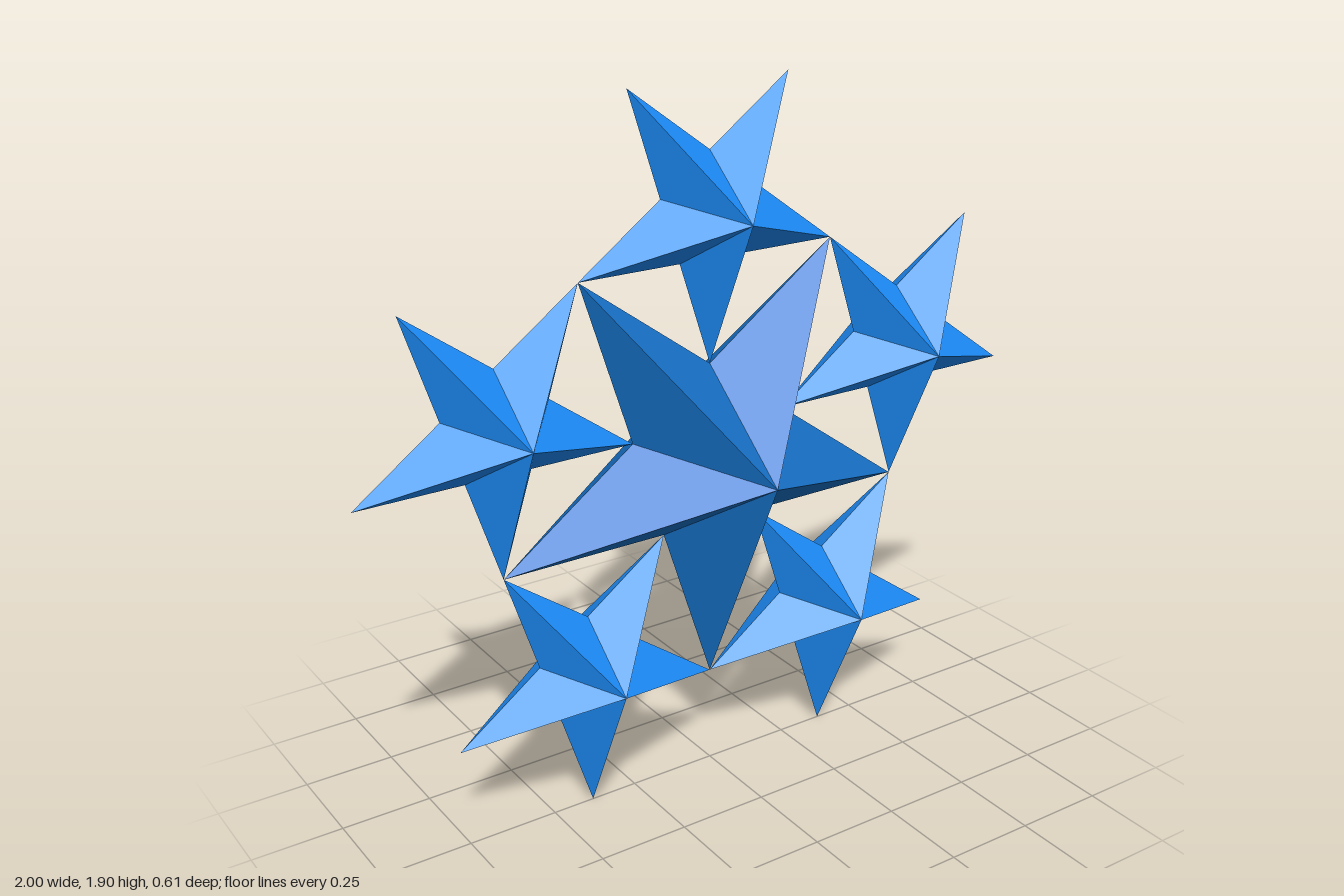
import * as THREE from 'three';

const RADIUS = 0.65;
const DEPTH = 0.303;
const RATIO = (Math.sqrt(5) - 1) / 2; // golden ratio links all the sizes

// Faceted five-pointed star, one tip down, with a peak at front and back
function starGeometry(radius, depth) {
  const rim = [];
  for (let i = 0; i < 10; i++) {
    const a = -Math.PI / 2 + (i * Math.PI) / 5;
    const r = i % 2 ? radius * RATIO * RATIO : radius;
    rim.push([r * Math.cos(a), r * Math.sin(a), 0]);
  }
  const positions = [];
  rim.forEach((p, i) => {
    const q = rim[(i + 1) % 10];
    positions.push(...p, ...q, 0, 0, depth);
    positions.push(...q, ...p, 0, 0, -depth);
  });
  const geometry = new THREE.BufferGeometry();
  geometry.setAttribute('position', new THREE.Float32BufferAttribute(positions, 3));
  geometry.computeVertexNormals();
  return geometry;
}

export function createModel() {
  const model = new THREE.Group();
  model.name = 'starCluster';
  const centerY = RADIUS * Math.cos(Math.PI / 5) + RADIUS * RATIO;

  // Large dark star in the middle
  const center = new THREE.Mesh(
    starGeometry(RADIUS, DEPTH),
    new THREE.MeshStandardMaterial({ color: 0x1874cd, flatShading: true })
  );
  center.name = 'centerStar';
  center.position.y = centerY;
  model.add(center);

  // Five small bright stars filling the gaps between its points
  const geometry = starGeometry(RADIUS * RATIO, DEPTH * RATIO);
  const material = new THREE.MeshStandardMaterial({ color: 0x1e90ff, flatShading: true });
  for (let i = 0; i < 5; i++) {
    const a = Math.PI / 2 + (i * 2 * Math.PI) / 5;
    const star = new THREE.Mesh(geometry, material);
    star.name = `outerStar${i + 1}`;
    star.position.set(RADIUS * Math.cos(a), centerY + RADIUS * Math.sin(a), 0);
    model.add(star);
  }
  return model;
}
